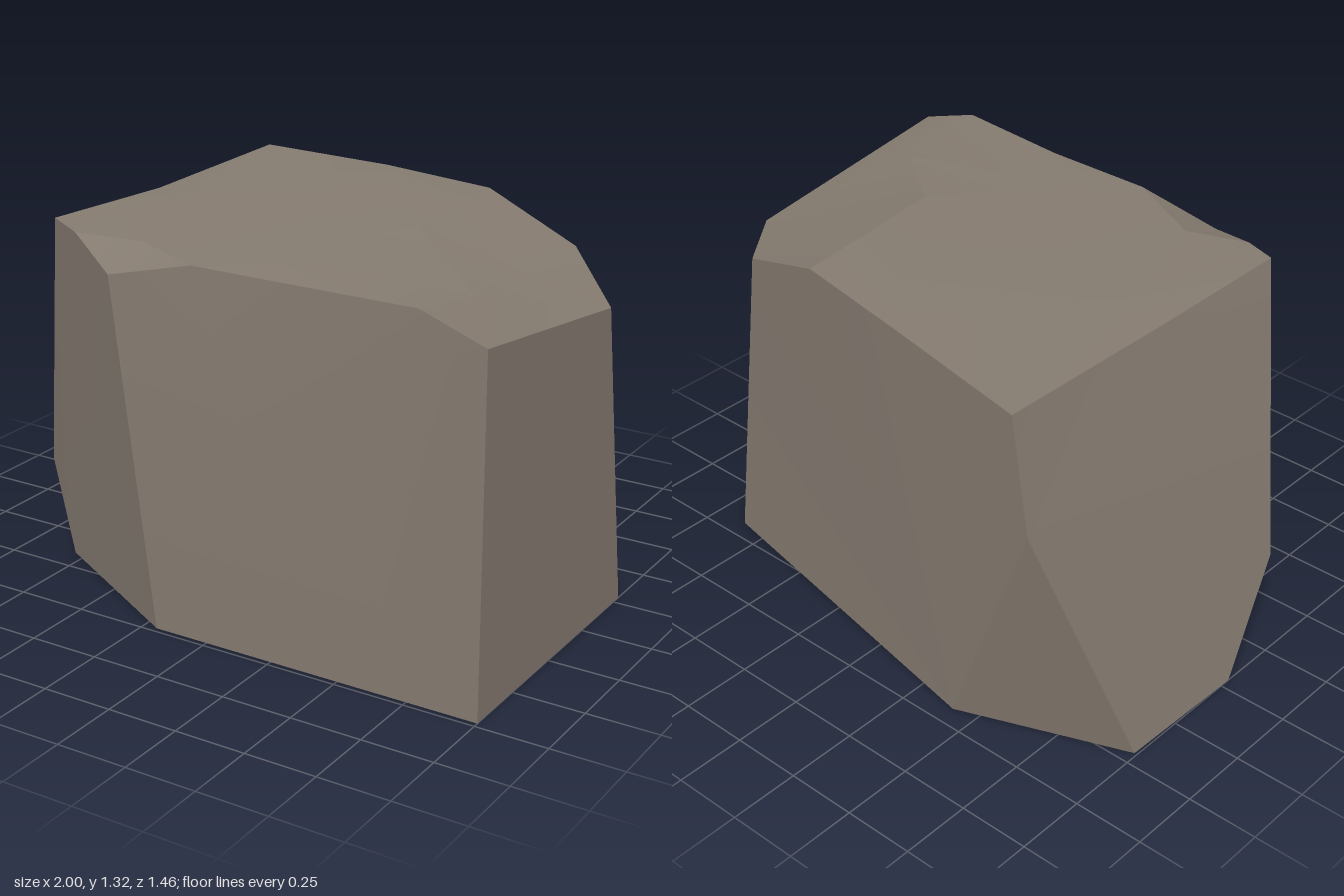
import * as THREE from 'three';
import { toCreasedNormals } from 'three/addons/utils/BufferGeometryUtils.js';

// Corners of the boulder
const P = {
  // base outline, counterclockwise from above
  b0: [1, 0, 0.73], b1: [1, 0, -0.29], b2: [0.87, 0, -0.43], b3: [-0.41, 0, -0.68],
  b4: [-0.99, 0, -0.45], b5: [-1, 0, 0.04], b6: [-0.8, 0, 0.4], b7: [-0.2, 0, 0.73],
  // bulges part-way up the sides
  lowLeft: [-0.93, 0.32, 0.34], backLeft: [-0.77, 0.9, -0.73], apex: [0.14, 0.75, 0.73],
  // top rim, same direction
  t0: [1, 1.2, 0.73], t1: [1, 1.09, -0.11], t2: [0.72, 1.17, -0.43], t3: [0.35, 1.3, -0.51],
  t4: [-0.11, 1.3, -0.6], t5: [-0.68, 1.28, -0.7], t6: [-0.68, 1.27, 0], t7: [-0.7, 1.29, 0.55],
  t8: [-0.57, 1.275, 0.61], t9: [-0.35, 1.2, 0.73], t10: [-0.05, 1.27, 0.7],
  t11: [0.35, 1.27, 0.7], t12: [0.77, 1.28, 0.725],
  // gentle relief of the top
  ridge: [0.4, 1.315, 0.08], ridgeEnd: [0.12, 1.285, 0.5], slope: [0.78, 1.23, 0.4],
  hollow: [-0.47, 1.275, 0], brow: [-0.35, 1.265, 0.55],
};

// Each face is a fan around its first corner
const FACES = [
  'b0 b7 b6 b5 b4 b3 b2 b1',                       // underside
  'b0 b1 t1 t0',                                   // right side
  'b1 b2 t2 t1',                                   // back corner bevel
  'b3 backLeft t5 t4 t3 t2 b2',                    // back
  'b3 b4 backLeft',                                // back lower facet
  'backLeft b4 b5 lowLeft t7 t6 t5',               // left side
  'b5 b6 lowLeft',                                 // left lower facet
  'b6 b7 t9 t8 t7 lowLeft',                        // front corner bevel
  'apex b7 b0 t0 t12 t11 t10 t9 b7',               // front with shallow chip
  'ridge slope t1 t2 t3 t4 hollow ridgeEnd slope', // top
  'hollow t4 t5 t6 t7 t8 brow ridgeEnd',
  'brow t8 t9 t10 ridgeEnd',
  'ridgeEnd t10 t11 t12 slope',
  'slope t12 t0 t1',
];

export function createModel() {
  const stone = new THREE.MeshStandardMaterial({ color: 0x857b70 });
  stone.name = 'stone';

  const positions = [];
  for (const face of FACES) {
    const c = face.split(' ').map((name) => P[name]);
    for (let i = 1; i < c.length - 1; i++) positions.push(...c[0], ...c[i], ...c[i + 1]);
  }
  const geometry = new THREE.BufferGeometry();
  geometry.setAttribute('position', new THREE.Float32BufferAttribute(positions, 3));

  const boulder = new THREE.Mesh(toCreasedNormals(geometry, 0.32), stone);
  boulder.name = 'boulder';
  const group = new THREE.Group();
  group.name = 'rock';
  group.add(boulder);
  return group;
}
